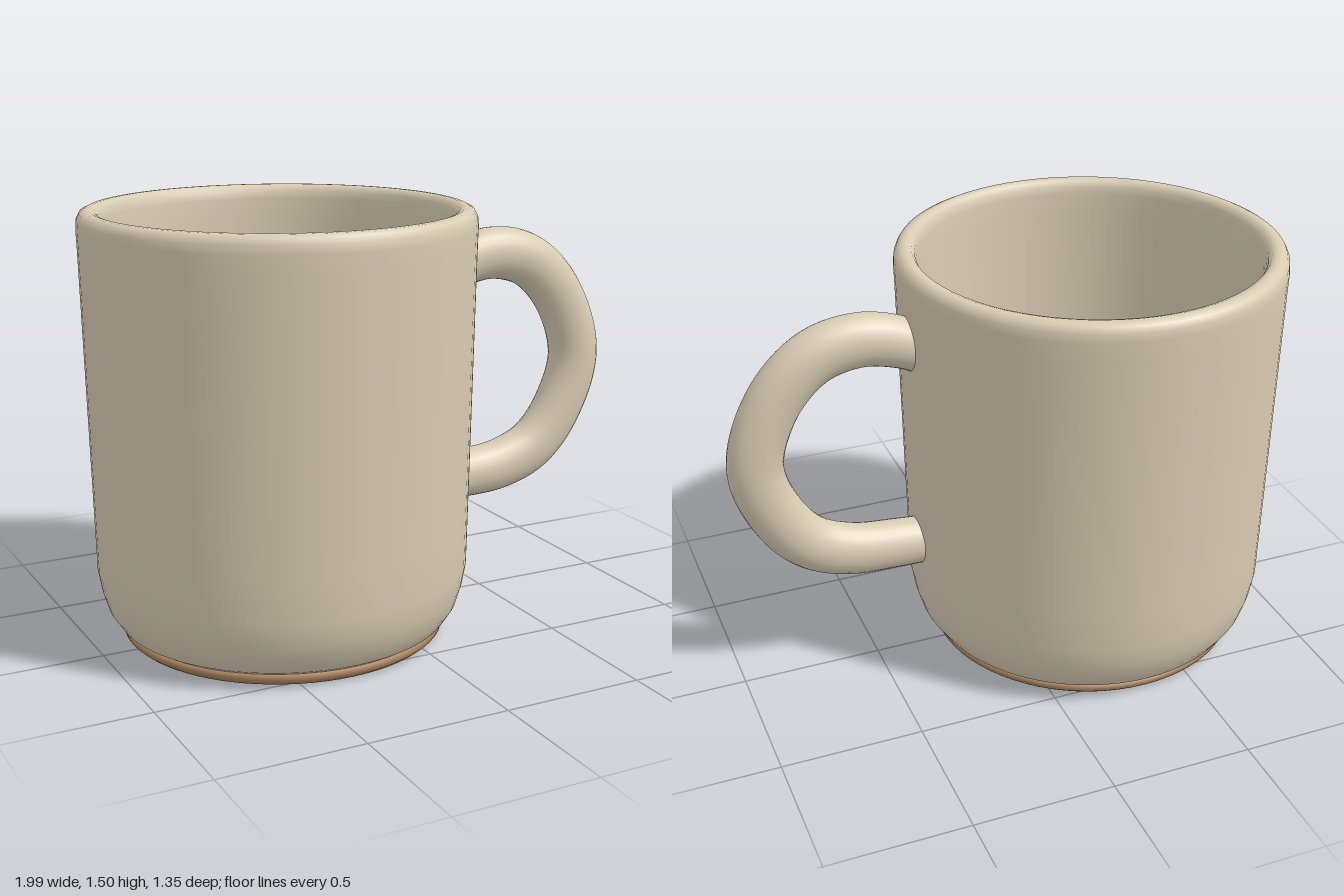
import * as THREE from 'three';

const CUP_X = -0.323;

function lathe(points, material, name) {
  const profile = points.map(([r, y]) => new THREE.Vector2(r, y));
  const mesh = new THREE.Mesh(new THREE.LatheGeometry(profile, 72), material);
  mesh.name = name;
  mesh.position.x = CUP_X;
  return mesh;
}

export function createModel() {
  const glaze = new THREE.MeshStandardMaterial({ color: 0xd9ccb4 });
  glaze.name = 'cream glaze';
  const clay = new THREE.MeshStandardMaterial({ color: 0xa8825f });
  clay.name = 'bare brown clay';

  const mug = new THREE.Group();
  mug.name = 'mug';

  // Outer wall, rounded rim, inner wall and floor in one profile
  mug.add(lathe([
    [0.53, 0.042], [0.562, 0.043], [0.585, 0.057], [0.62, 0.11], [0.64, 0.175],
    [0.653, 0.25], [0.656, 0.4], [0.675, 1.38], [0.677, 1.44], [0.674, 1.47],
    [0.664, 1.49], [0.646, 1.499], [0.63, 1.5], [0.613, 1.494], [0.602, 1.477],
    [0.598, 1.45], [0.596, 1.38], [0.578, 0.4], [0.574, 0.26], [0.56, 0.19],
    [0.53, 0.14], [0.48, 0.115], [0.42, 0.11], [0, 0.11],
  ], glaze, 'cupBody'));

  // Unglazed foot ring and recessed base
  mug.add(lathe([
    [0.485, 0.025], [0.495, 0.01], [0.51, 0.002], [0.53, 0], [0.552, 0.003],
    [0.566, 0.015], [0.57, 0.028], [0.566, 0.04], [0.54, 0.045],
  ], clay, 'footRing'));
  mug.add(lathe([[0, 0.025], [0.485, 0.025]], clay, 'base'));

  // Handle: a tube, deeper in its own plane than it is wide
  const path = new THREE.CatmullRomCurve3([
    [0.24, 1.18], [0.37, 1.245], [0.52, 1.278], [0.68, 1.24], [0.82, 1.1],
    [0.897, 0.87], [0.83, 0.66], [0.72, 0.53], [0.58, 0.472], [0.42, 0.456], [0.25, 0.447],
  ].map(([x, y]) => new THREE.Vector3(x, y, 0)));
  const rings = 64, sides = 24, width = 0.08;
  const tube = new THREE.TubeGeometry(path, rings, width, sides);
  const pos = tube.attributes.position;
  const depthAt = (t) => 1.06 + 0.16 * Math.min(1, Math.sin(Math.PI * t) * 1.6);
  for (let i = 0; i < pos.count; i++) {
    const t = Math.floor(i / (sides + 1)) / rings;
    const c = path.getPointAt(t), k = depthAt(t);
    pos.setXY(i, c.x + (pos.getX(i) - c.x) * k, c.y + (pos.getY(i) - c.y) * k);
  }
  tube.computeVertexNormals();
  // Match the normals along the tube's seam
  const nor = tube.attributes.normal;
  for (let r = 0; r <= rings; r++) {
    const a = r * (sides + 1), b = a + sides;
    const n = new THREE.Vector3().fromBufferAttribute(nor, a)
      .add(new THREE.Vector3().fromBufferAttribute(nor, b)).normalize();
    nor.setXYZ(a, n.x, n.y, n.z);
    nor.setXYZ(b, n.x, n.y, n.z);
  }
  const handle = new THREE.Group();
  handle.name = 'handle';
  const grip = new THREE.Mesh(tube, glaze);
  grip.name = 'handleGrip';
  handle.add(grip);

  // Flat ends of the handle
  for (const t of [0, 1]) {
    const end = new THREE.Mesh(new THREE.CircleGeometry(width, sides), glaze);
    const out = path.getTangentAt(t).multiplyScalar(t ? 1 : -1);
    end.name = t ? 'handleLowerEnd' : 'handleUpperEnd';
    end.position.copy(path.getPointAt(t));
    end.lookAt(end.position.clone().add(out));
    end.scale.y = depthAt(t);
    handle.add(end);
  }
  mug.add(handle);
  return mug;
}
